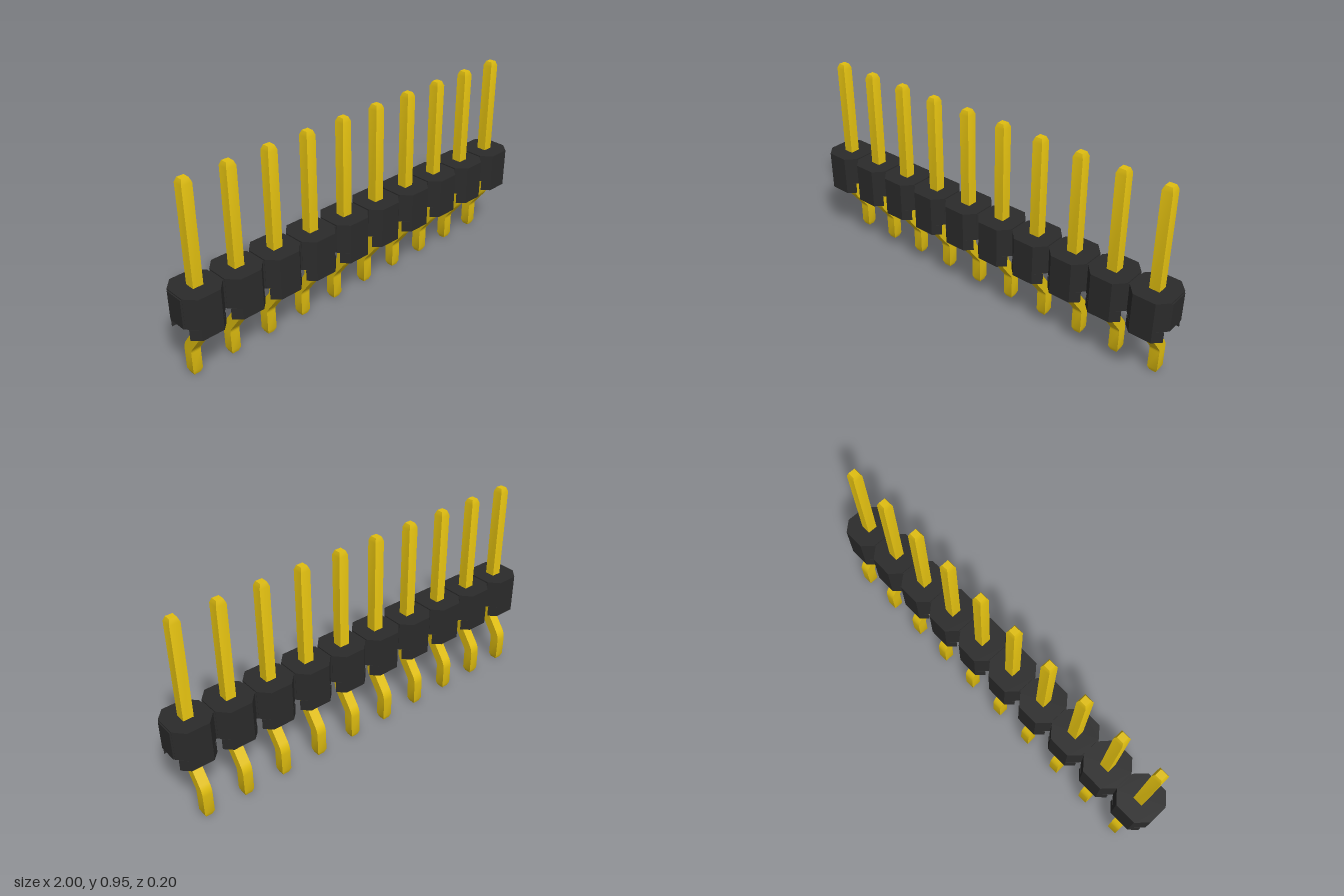
import * as THREE from 'three';
import { toCreasedNormals } from 'three/addons/utils/BufferGeometryUtils.js';

const COUNT = 10, PITCH = 0.2;
const gold = new THREE.MeshStandardMaterial({ color: 0xe0be10 });
const black = new THREE.MeshStandardMaterial({ color: 0x2b2b2b });

// Vertical prism from an x/z outline
function prism(points, y0, y1) {
  const shape = new THREE.Shape(points.map(([x, z]) => new THREE.Vector2(x, -z)));
  const geo = new THREE.ExtrudeGeometry(shape, { depth: y1 - y0, bevelEnabled: false });
  return geo.rotateX(-Math.PI / 2).translate(0, y0, 0);
}

// Square pin swept along an S-bend, with tapered tips
function pinGeometry() {
  const R = 0.06, bend = 0.643, steps = 6, h = 0.024, tip = 0.016, foot = -0.075;
  const rings = [[0, foot, 0, tip], [0.022, foot, 0, h]]; // y, z, tilt, half width
  for (let i = 0; i <= steps; i++) {
    const t = bend * i / steps;
    rings.push([0.12 + R * Math.sin(t), foot + R * (1 - Math.cos(t)), t, h]);
  }
  for (let i = steps; i >= 0; i--) {
    const t = bend * i / steps;
    rings.push([0.26 - R * Math.sin(t), -R * (1 - Math.cos(t)), t, h]);
  }
  rings.push([0.932, 0, 0, h], [0.953, 0, 0, tip]);

  const pos = [], idx = [];
  for (const [y, z, t, s] of rings) {
    for (const [sx, sz] of [[1, 1], [1, -1], [-1, -1], [-1, 1]]) {
      pos.push(sx * s, y - sz * s * Math.sin(t), z + sz * s * Math.cos(t));
    }
  }
  for (let r = 0; r < rings.length - 1; r++) {
    for (let j = 0; j < 4; j++) {
      const a = r * 4 + j, b = r * 4 + (j + 1) % 4;
      idx.push(a, b, b + 4, a, b + 4, a + 4);
    }
  }
  const e = (rings.length - 1) * 4;
  idx.push(0, 2, 1, 0, 3, 2, e, e + 1, e + 2, e, e + 2, e + 3);
  const geo = new THREE.BufferGeometry();
  geo.setAttribute('position', new THREE.Float32BufferAttribute(pos, 3));
  geo.setIndex(idx);
  return toCreasedNormals(geo, 0.4);
}

export function createModel() {
  const model = new THREE.Group();
  model.name = 'pinHeader';
  const add = (parent, name, geo, mat) => {
    const mesh = new THREE.Mesh(geo, mat);
    mesh.name = name;
    parent.add(mesh);
    return mesh;
  };

  const a = 0.052, w = 0.095, d = 0.1;
  const block = prism([[a, d], [w, a], [w, -a], [a, -d], [-a, -d], [-w, -a], [-w, a], [-a, d]], 0.34, 0.482);
  const rail = prism([[a, d], [0.087, 0.065], [-0.087, 0.065], [-a, d]], 0.287, 0.34);
  const pin = pinGeometry();

  for (let i = 0; i < COUNT; i++) {
    const unit = new THREE.Group();
    unit.name = 'unit' + (i + 1);
    unit.position.x = (i - (COUNT - 1) / 2) * PITCH;
    add(unit, 'block', block, black);
    add(unit, 'frontStandoff', rail, black);
    add(unit, 'backStandoff', rail, black).rotation.y = Math.PI;
    add(unit, 'pin', pin, gold);
    model.add(unit);
  }

  // Webs joining neighbouring blocks, and the snapped stubs at both ends
  const web = prism([[0.006, 0.052], [0.006, -0.052], [0, -0.045], [-0.006, -0.052], [-0.006, 0.052], [0, 0.045]], 0.34, 0.476);
  const stub = prism([[0, 0.052], [0.006, 0.045], [0.006, -0.045], [0, -0.052]], 0.34, 0.476);
  for (let i = 1; i < COUNT; i++) {
    add(model, 'web', web, black).position.x = (i - COUNT / 2) * PITCH;
  }
  for (const s of [-1, 1]) {
    const end = add(model, s > 0 ? 'leftEndStub' : 'rightEndStub', stub, black);
    end.position.x = s * 0.994;
    end.rotation.y = s > 0 ? 0 : Math.PI;
  }
  return model;
}
